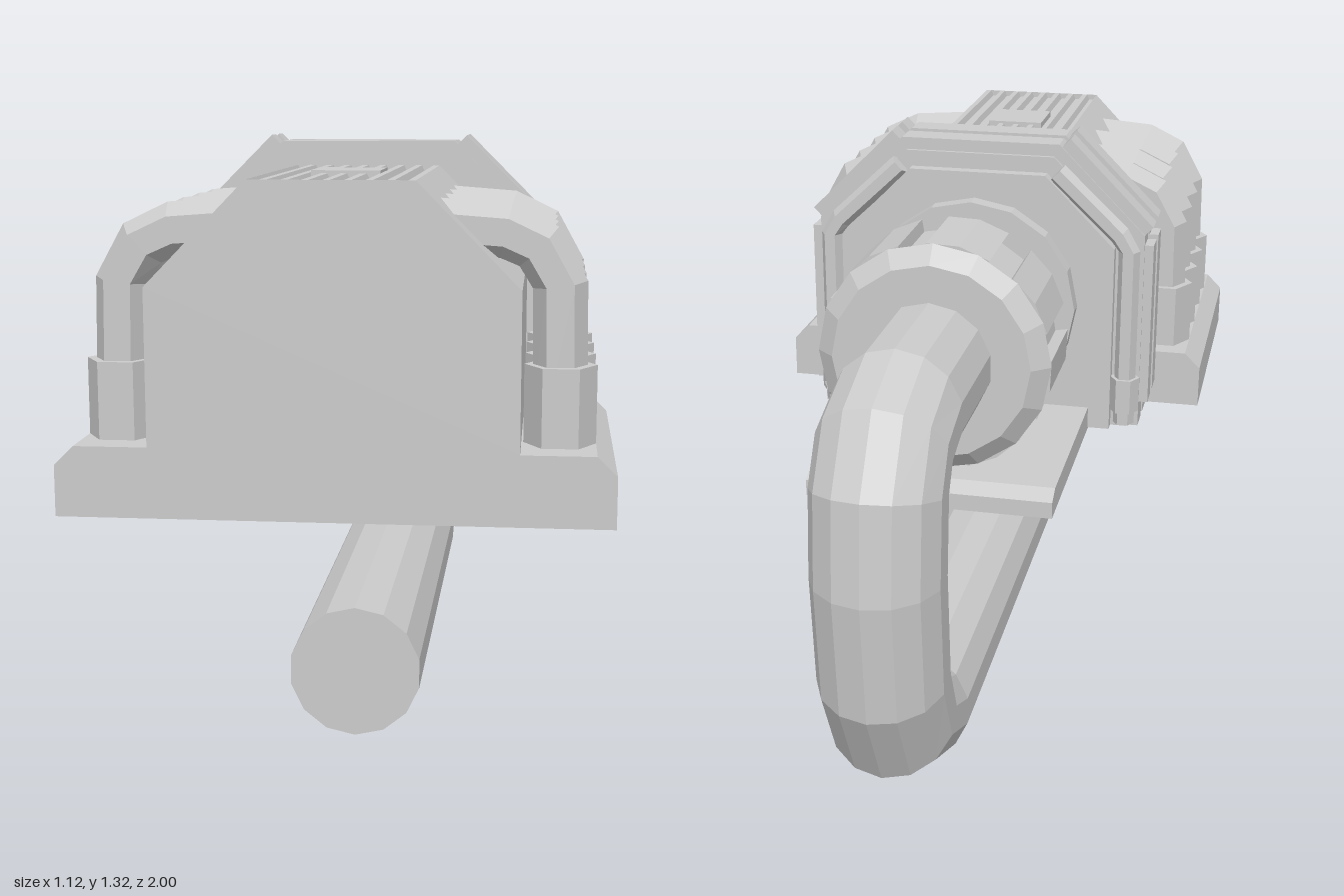
import * as THREE from 'three';

const grey = new THREE.MeshStandardMaterial({ color: 0xcccccc, flatShading: true, side: THREE.DoubleSide });

function part(parent, name, geometry, x = 0, y = 0, z = 0) {
  const mesh = new THREE.Mesh(geometry, grey);
  mesh.name = name;
  mesh.position.set(x, y, z);
  parent.add(mesh);
  return mesh;
}

// Full outline from its right half, listed from the bottom up
const mirrored = half => [...half, ...half.slice().reverse().map(([x, y]) => [-x, y])];
const shapeOf = pts => new THREE.Shape(pts.map(([x, y]) => new THREE.Vector2(x, y)));

// Solid slab with an xy outline between two z values
function slab(pts, z0, z1) {
  const g = new THREE.ExtrudeGeometry(shapeOf(pts), { depth: z1 - z0, bevelEnabled: false });
  return g.translate(0, 0, z0);
}

// Open skin: an xy polyline drawn out along z
function skin(pts, z0, z1) {
  const pos = [];
  for (let i = 0; i < pts.length - 1; i++) {
    const [a, b] = [pts[i], pts[i + 1]];
    pos.push(...a, z1, ...a, z0, ...b, z0, ...a, z1, ...b, z0, ...b, z1);
  }
  const g = new THREE.BufferGeometry();
  g.setAttribute('position', new THREE.Float32BufferAttribute(pos, 3));
  g.computeVertexNormals();
  return g;
}

// Capped faceted tube along a planar path; side is the normal of that plane
function sweep(path, radius, sides, side) {
  const pts = path.map(p => new THREE.Vector3(...p));
  const rings = pts.map((p, i) => {
    const t = pts[Math.min(i + 1, pts.length - 1)].clone().sub(pts[Math.max(i - 1, 0)]).normalize();
    const n = side.clone().cross(t);
    return Array.from({ length: sides }, (_, j) => {
      const a = (j / sides) * Math.PI * 2;
      return p.clone().addScaledVector(n, radius * Math.cos(a)).addScaledVector(side, radius * Math.sin(a));
    });
  });
  const out = [];
  const last = rings.length - 1;
  for (let j = 0; j < sides; j++) {
    const k = (j + 1) % sides;
    for (let i = 0; i < last; i++) {
      const [a, b, c, d] = [rings[i][j], rings[i][k], rings[i + 1][k], rings[i + 1][j]];
      out.push(a, b, c, a, c, d);
    }
    out.push(pts[0], rings[0][k], rings[0][j], pts[last], rings[last][j], rings[last][k]);
  }
  const g = new THREE.BufferGeometry().setFromPoints(out);
  g.computeVertexNormals();
  return g;
}

// Cylinder lying along z
function barrel(rFront, rBack, z0, z1, sides) {
  return new THREE.CylinderGeometry(rFront, rBack, z1 - z0, sides)
    .rotateX(Math.PI / 2).translate(0, 0, (z0 + z1) / 2);
}

const hexCollar = (r, h) => new THREE.CylinderGeometry(r, r, h, 6).rotateY(Math.PI / 6);

export function createModel() {
  const model = new THREE.Group();
  model.name = 'engine';
  const zAxis = new THREE.Vector3(0, 0, 1);
  const xAxis = new THREE.Vector3(1, 0, 0);

  // Hollow housing, open underneath, with a ledge along each side
  const housing = new THREE.Group();
  housing.name = 'housing';
  model.add(housing);
  const half = [[0.56, 0.585], [0.56, 0.69], [0.52, 0.73], [0.37, 0.73], [0.37, 1.05], [0.165, 1.26]];
  const outline = mirrored(half);
  part(housing, 'frontWall', new THREE.ShapeGeometry(shapeOf(outline)), 0, 0, 1);
  part(housing, 'backWall', new THREE.ShapeGeometry(shapeOf(outline)).rotateY(Math.PI), 0, 0, 0.3);

  // Skin with a grooved top
  const grooves = [];
  for (let i = 0; i < 8; i++) {
    const x = 0.165 - i * 0.04125;
    grooves.push([x - 0.014, 1.26], [x - 0.02, 1.245], [x - 0.034, 1.245], [x - 0.041, 1.26]);
  }
  const left = half.slice().reverse().map(([x, y]) => [-x, y]);
  part(housing, 'groovedSkin', skin([...half, ...grooves, ...left], 0.3, 1));
  part(housing, 'topPlate', new THREE.BoxGeometry(0.145, 0.025, 0.15), -0.003, 1.2535, 0.647);

  // Bent side tubes with hexagonal collars
  for (const s of [1, -1]) {
    for (const z of [0.87, 0.722, 0.565, 0.415]) {
      const path = [[0.447, 0.8], [0.443, 1.05], [0.4, 1.125], [0.335, 1.155], [0.2, 1.165]];
      part(housing, 'sideTube', sweep(path.map(([x, y]) => [s * x, y, z]), 0.055, 6, zAxis));
      part(housing, 'tubeCollar', hexCollar(0.073, 0.16), s * 0.447, 0.81, z);
    }
  }

  // Flange: a core with two raised ribs
  const flange = new THREE.Group();
  flange.name = 'flange';
  model.add(flange);
  const ring = inset => mirrored([
    [0.42 - inset, 0.585], [0.42 - inset, 1.095 - inset * 0.4],
    [0.2 - inset * 0.4, 1.315 - inset],
  ]);
  part(flange, 'flangeCore', slab(ring(0.03), 0.12, 0.3));
  part(flange, 'backPlate', slab(ring(0.07), 0.09, 0.12));
  for (const z of [0.13, 0.23]) {
    part(flange, 'rib', slab(ring(0), z, z + 0.07));
    for (const s of [1, -1]) {
      // Pads on the slanted shoulders and the upright sides
      const pad = part(flange, 'shoulderPad', new THREE.BoxGeometry(0.3, 0.03, 0.06), s * 0.323, 1.212, z + 0.035);
      pad.rotation.z = -s * Math.PI / 4;
      part(flange, 'sidePad', new THREE.BoxGeometry(0.025, 0.42, 0.06), s * 0.43, 0.86, z + 0.035);
    }
  }
  // Slim pipes following the rear of the flange
  for (const s of [1, -1]) {
    const path = [[0.385, 0.6], [0.385, 1.06], [0.36, 1.1], [0.2, 1.25]];
    part(flange, 'rearPipe', sweep(path.map(([x, y]) => [s * x, y, 0.11]), 0.027, 6, zAxis));
    part(flange, 'rearPipeCollar', hexCollar(0.037, 0.09), s * 0.385, 0.68, 0.11);
  }

  // Neck and notched coupling
  const coupling = new THREE.Group();
  coupling.name = 'coupling';
  coupling.position.set(0.005, 0.915, 0);
  model.add(coupling);
  part(coupling, 'neckFlange', barrel(0.265, 0.265, 0.045, 0.1, 16));
  part(coupling, 'neck', barrel(0.2, 0.2, -0.12, 0.05, 16));
  part(coupling, 'couplingRim', barrel(0.262, 0.277, -0.13, -0.105, 16));
  const notched = [];
  for (let k = 0; k < 8; k++) {
    const c = (-10 + 45 * k) * Math.PI / 180;
    const add = (r, a) => notched.push([r * Math.cos(c + a), r * Math.sin(c + a)]);
    add(0.277, -0.12);
    add(0.247, -0.135);
    add(0.247, 0.135);
    add(0.277, 0.12);
    add(0.28, Math.PI / 8);
  }
  part(coupling, 'couplingBody', slab(notched, -0.355, -0.13));
  part(coupling, 'couplingTaper', barrel(0.277, 0.235, -0.39, -0.355, 16));

  // Support plate under the coupling
  const support = new THREE.Group();
  support.name = 'support';
  model.add(support);
  const plateSide = [[-0.13, 0.58], [0.45, 0.58], [0.45, 0.62], [0.41, 0.64], [-0.13, 0.64]];
  part(support, 'supportPlate', slab(plateSide, -0.295, 0.295).rotateY(Math.PI / 2));
  part(support, 'underPanel', new THREE.BoxGeometry(0.3, 0.01, 0.2), 0, 0.578, -0.2);
  const gusset = [[-0.03, 0.63], [0.1, 0.63], [0.06, 0.75], [-0.03, 0.75]];
  part(support, 'gusset', slab(gusset, -0.1, 0.1).rotateY(Math.PI / 2));

  // Large exhaust pipe looping back beneath the housing
  const loop = [
    [0.915, -0.36], [0.915, -0.68], [0.88, -0.79], [0.8, -0.84], [0.61, -0.857],
    [0.35, -0.832], [0.215, -0.765], [0.155, -0.63], [0.16, 0.67],
  ];
  part(model, 'exhaustPipe', sweep(loop.map(([y, z]) => [0.007, y, z]), 0.147, 14, xAxis));
  return model;
}
